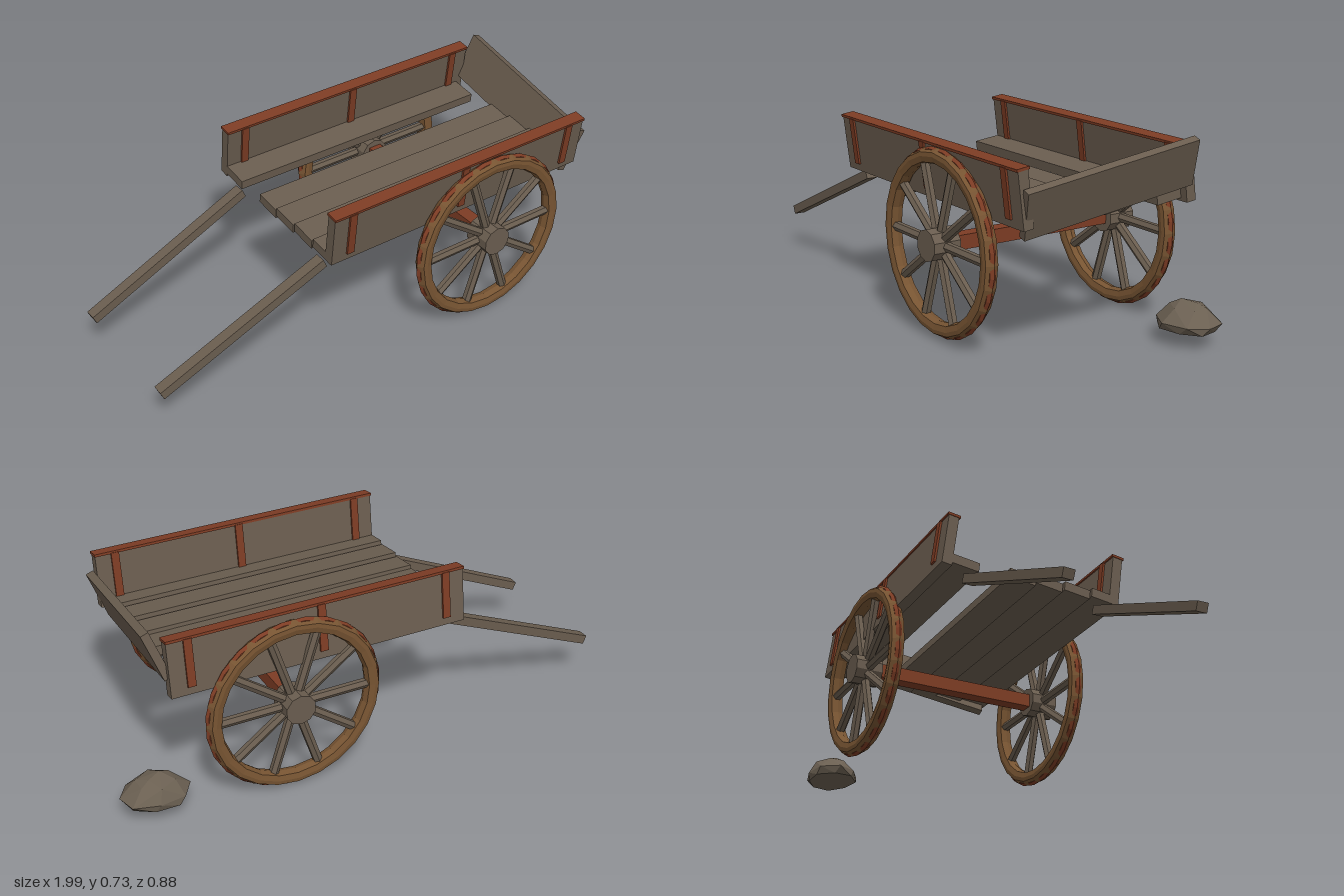
import * as THREE from 'three';
import { ConvexGeometry } from 'three/addons/geometries/ConvexGeometry.js';

export function createModel() {
  const mat = (name, color) => {
    const m = new THREE.MeshStandardMaterial({ color, flatShading: true });
    m.name = name;
    return m;
  };
  const wood = mat('weathered wood', 0x6a5d4f);
  const rust = mat('red brown wood', 0x7d3c24);
  const tan = mat('tan wood', 0x775432);
  const stone = mat('stone', 0x6b6052);

  const cart = new THREE.Group();
  cart.name = 'brokenCart';
  const add = (parent, name, geo, material, x = 0, y = 0, z = 0) => {
    const m = new THREE.Mesh(geo, material);
    m.name = name;
    m.position.set(x, y, z);
    parent.add(m);
    return m;
  };
  const box = (parent, name, material, size, pos) =>
    add(parent, name, new THREE.BoxGeometry(...size), material, ...pos);

  // Loose floor planks, one missing, each leaning a little
  for (const z of [0.29, 0.174, 0.057, -0.055, -0.286]) {
    box(cart, 'floorPlank', wood, [1.11, 0.036, 0.108], [0.215, 0.511, z]).rotation.x = 0.12;
  }

  // Side walls with cap rail and posts, both leaning the same way
  for (const z of [0.343, -0.348]) {
    const side = new THREE.Group();
    side.name = 'sideWall';
    side.position.set(0.23, 0.592, z);
    side.rotation.x = 0.13;
    box(side, 'sideBoard', wood, [1.14, 0.205, 0.04], [0, 0, 0]);
    box(side, 'capRail', rust, [1.145, 0.01, 0.05], [0, 0.103, 0]);
    for (const x of [-0.495, 0, 0.495]) {
      box(side, 'sidePost', rust, [0.03, 0.175, 0.056], [x, 0.014, 0]);
    }
    cart.add(side);
  }

  // Tailgate hanging crooked
  box(cart, 'tailgate', wood, [0.03, 0.185, 0.69], [0.808, 0.59, 0.002])
    .rotation.set(0.163, 0, -0.35, 'ZYX');

  // Two pulling shafts
  const shaft = (z0, z1) => {
    const a = new THREE.Vector3(-0.993, 0.167, z0);
    const b = new THREE.Vector3(-0.324, 0.454, z1);
    const m = box(cart, 'shaft', wood, [0.043, 0.035, a.distanceTo(b)], [0, 0, 0]);
    m.position.copy(a).lerp(b, 0.5);
    m.lookAt(b);
  };
  shaft(0.25, 0.268);
  shaft(-0.251, -0.27);

  // Axle
  box(cart, 'axle', rust, [0.053, 0.053, 0.68], [0.35, 0.348, 0]);

  // Wheels: bevelled rim, tread band, hub and ten spokes
  const lathe = (pts, n) => {
    const g = new THREE.LatheGeometry(pts.map(([r, h]) => new THREE.Vector2(r, h)), n);
    return g.rotateX(Math.PI / 2);
  };
  const rim = lathe([
    [0.28, 0], [0.287, -0.022], [0.308, -0.027], [0.323, -0.025], [0.337, 0],
    [0.323, 0.025], [0.308, 0.027], [0.287, 0.022], [0.28, 0],
  ], 24);
  const tread = lathe([
    [0.3, -0.012], [0.331, -0.012], [0.339, 0], [0.331, 0.012], [0.3, 0.012],
  ], 24).rotateZ(Math.PI / 24);
  const hub = new THREE.CylinderGeometry(0.058, 0.058, 0.107, 10).rotateX(Math.PI / 2);
  const spoke = new THREE.CylinderGeometry(0.018, 0.018, 0.25, 6).translate(0, 0.165, 0);
  for (const [y, z] of [[0.35, 0.385], [0.343, -0.383]]) {
    const wheel = new THREE.Group();
    wheel.name = 'wheel';
    wheel.position.set(0.349, y, z);
    add(wheel, 'rim', rim, tan);
    add(wheel, 'tread', tread, rust);
    add(wheel, 'hub', hub, wood);
    for (let i = 0; i < 10; i++) {
      add(wheel, 'spoke', spoke, wood).rotation.z = Math.PI / 2 + (i * Math.PI) / 5;
    }
    cart.add(wheel);
  }

  // Faceted rock with a flat base, built from uneven rings
  const pts = [];
  const ring = (y, rx, rz, cx, cz, n, turn) => {
    for (let i = 0; i < n; i++) {
      const a = turn + (i / n) * Math.PI * 2;
      const k = 1 + 0.06 * Math.sin(i * 2.3 + y * 40);
      pts.push(new THREE.Vector3(cx + Math.cos(a) * rx * k, y, cz + Math.sin(a) * rz * k));
    }
  };
  ring(0.062, 0.115, 0.092, 0.855, -0.307, 8, 0.3);
  ring(0.09, 0.13, 0.1, 0.86, -0.308, 8, 0.1);
  ring(0.138, 0.075, 0.062, 0.858, -0.312, 6, 0.5);
  pts.push(new THREE.Vector3(0.835, 0.16, -0.3), new THREE.Vector3(0.885, 0.153, -0.325));
  add(cart, 'rock', new ConvexGeometry(pts), stone);

  return cart;
}
